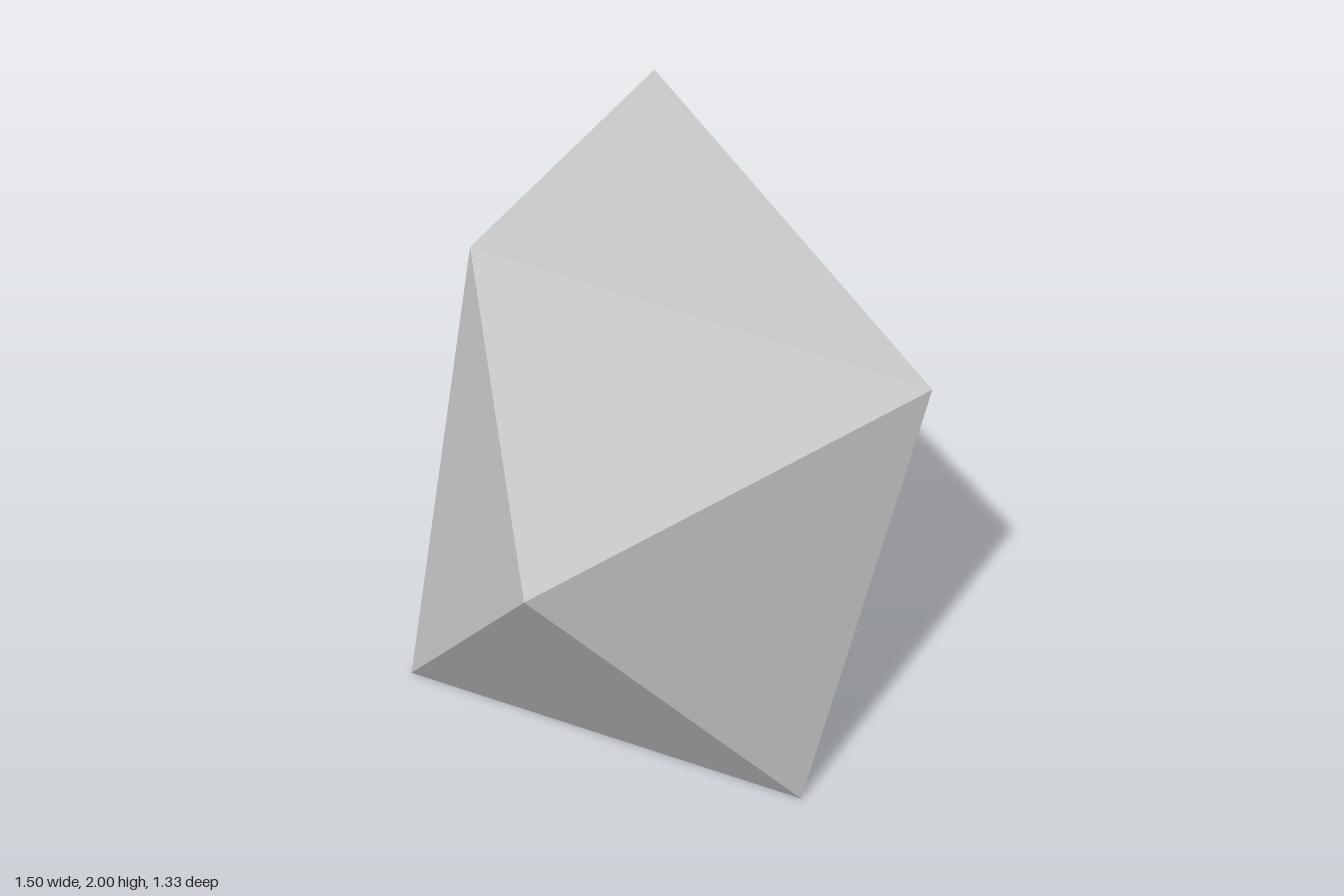
import * as THREE from 'three';

// Corner points of the boulder
const P = {
  peakLeft: [0.34, 2, -0.6],
  peakRight: [-0.51, 1.835, -0.17],
  shoulderLeft: [0.68, 1.335, 0.5],
  shoulderRight: [-0.75, 1.17, 0.6],
  back: [0, 1.17, -0.667],
  backLeft: [0.75, 0.835, -0.667],
  baseFront: [0.17, 0, 0.667],
  baseLeft: [0.75, 0.07, -0.333],
  baseRight: [-0.68, 0, -0.5],
};

// Facets, counter-clockwise seen from outside
const facets = [
  // crown
  ['peakRight', 'shoulderRight', 'shoulderLeft'],
  ['peakRight', 'shoulderLeft', 'peakLeft'],
  ['peakRight', 'peakLeft', 'back'],
  ['peakLeft', 'backLeft', 'back'],
  ['shoulderLeft', 'backLeft', 'peakLeft'],
  // sides
  ['shoulderRight', 'baseFront', 'shoulderLeft'],
  ['baseFront', 'shoulderRight', 'baseRight'],
  ['shoulderRight', 'peakRight', 'baseRight'],
  ['peakRight', 'back', 'baseRight'],
  ['shoulderLeft', 'baseFront', 'baseLeft'],
  ['shoulderLeft', 'baseLeft', 'backLeft'],
  ['backLeft', 'baseLeft', 'back'],
  ['baseLeft', 'baseRight', 'back'],
  // underside
  ['baseFront', 'baseRight', 'baseLeft'],
];

export function createModel() {
  const stone = new THREE.MeshStandardMaterial({ color: 0xcacaca });
  stone.name = 'light stone grey';

  // Unshared corners give every facet its own flat normal
  const geometry = new THREE.BufferGeometry();
  const positions = facets.flat().flatMap((name) => P[name]);
  geometry.setAttribute('position', new THREE.Float32BufferAttribute(positions, 3));
  geometry.computeVertexNormals();

  const boulder = new THREE.Mesh(geometry, stone);
  boulder.name = 'boulder';

  const model = new THREE.Group();
  model.name = 'rock';
  model.add(boulder);
  return model;
}
